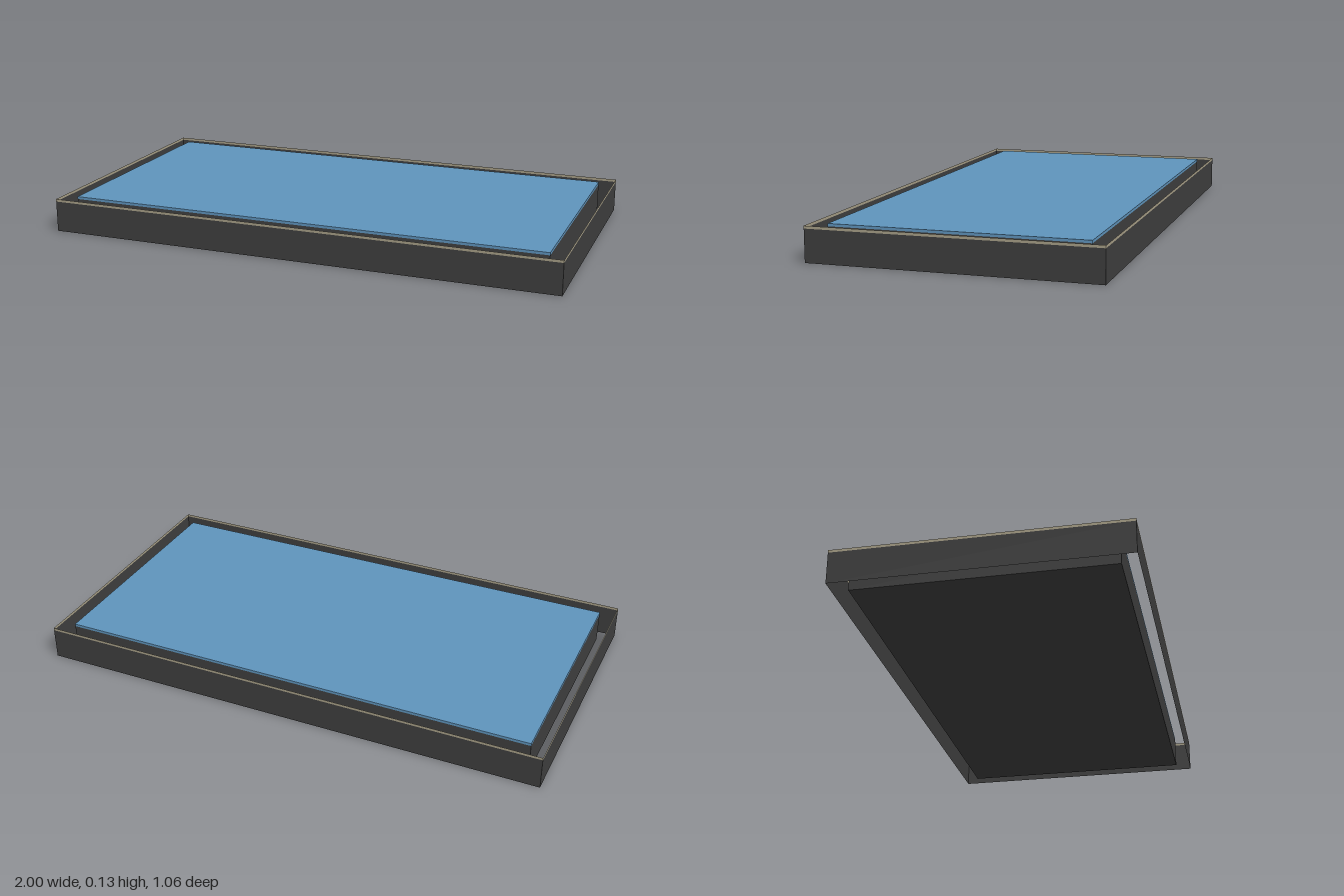
import * as THREE from 'three';

const paint = (name, color) => {
  const m = new THREE.MeshStandardMaterial({ color, side: THREE.DoubleSide });
  m.name = name;
  return m;
};

export function createModel() {
  const dark = paint('charcoal', 0x3e3e3e);
  const trim = paint('warm grey trim', 0xa69e86);
  const blue = paint('pool blue', 0x5f94bc);
  const model = new THREE.Group();
  model.name = 'framedBasin';

  // Four upright faces around a rectangle, open above and below
  function band(name, halfX, halfZ, y0, y1, material) {
    const group = new THREE.Group();
    group.name = name;
    for (let i = 0; i < 4; i++) {
      const alongX = i % 2 === 0;
      const wall = new THREE.Mesh(
        new THREE.PlaneGeometry(2 * (alongX ? halfX : halfZ), y1 - y0), material);
      const a = i * Math.PI / 2;
      wall.rotation.y = a;
      wall.position.set(Math.sin(a) * halfX, (y0 + y1) / 2, Math.cos(a) * halfZ);
      wall.name = name + 'Side';
      group.add(wall);
    }
    model.add(group);
  }

  // Flat rectangle; facing is 1 for up, -1 for down
  function sheet(name, halfX, halfZ, y, facing, material) {
    const mesh = new THREE.Mesh(new THREE.PlaneGeometry(2 * halfX, 2 * halfZ), material);
    mesh.rotation.x = -facing * Math.PI / 2;
    mesh.position.y = y;
    mesh.name = name;
    model.add(mesh);
  }

  // Outer skirt with its thin top trim
  band('outerWall', 1, 0.53, 0, 0.12, dark);
  band('outerTrim', 1, 0.53, 0.12, 0.13, trim);

  // Inner block carrying the blue surface
  band('innerWall', 0.94, 0.47, 0, 0.12, dark);
  band('surfaceEdge', 0.94, 0.47, 0.12, 0.13, blue);
  sheet('surface', 0.94, 0.47, 0.13, 1, blue);
  sheet('underside', 0.94, 0.47, 0, -1, dark);

  return model;
}
